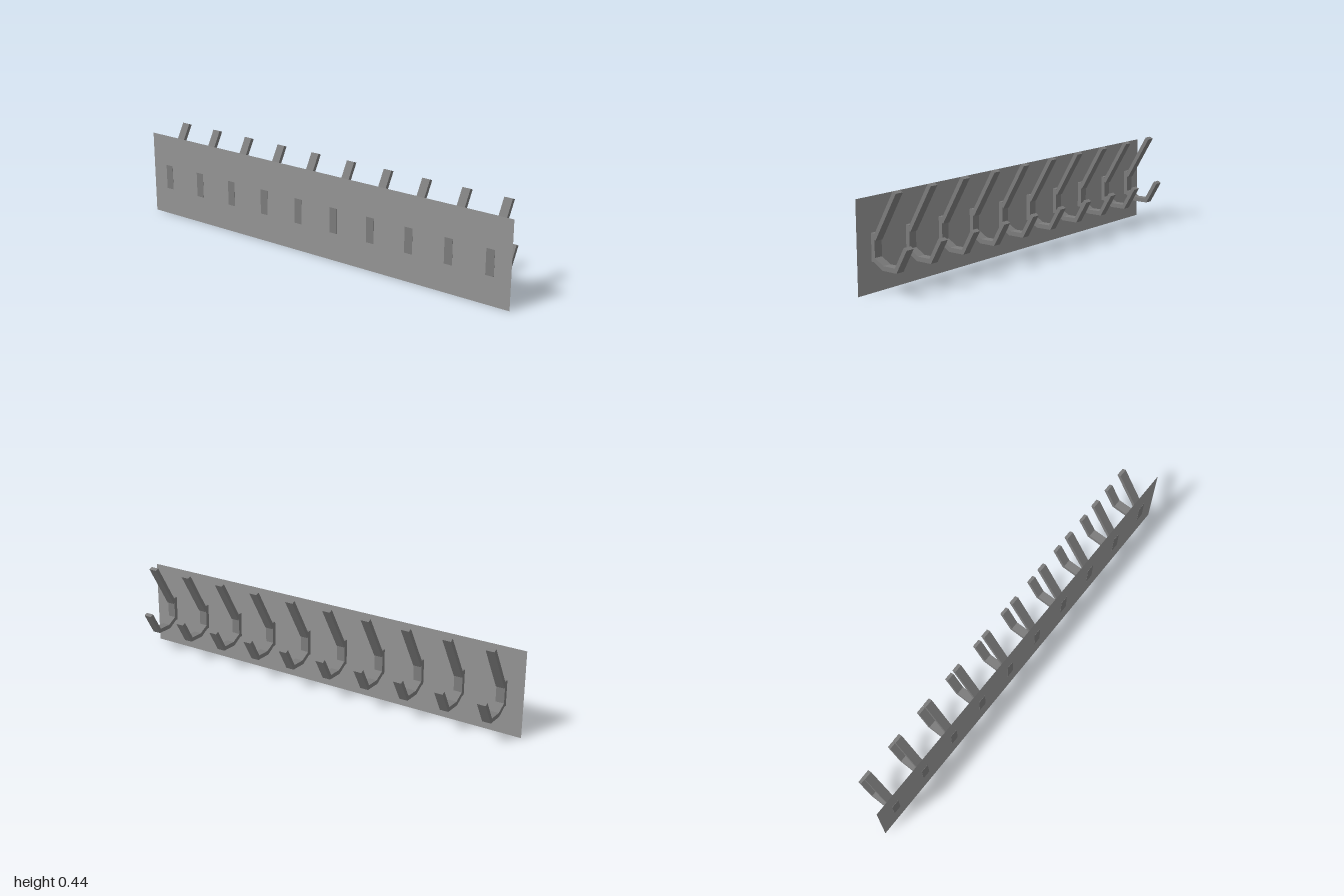
import * as THREE from 'three';

const BOARD = { width: 2, height: 0.4, z: 0.099 };
const HOOK_COUNT = 10, HOOK_SPACING = 0.2, HOOK_WIDTH = 0.04;

// Side outline of one hook as [z, y], from the top of the mounting strip round
const HOOK_OUTLINE = [
  [0.1, 0.25], [0.1, 0.131], [0.086, 0.131],   // mounting strip
  [0.04, 0.103], [-0.039, 0.103],              // underside of the bend
  [-0.098, 0.206], [-0.082, 0.215],            // short prong tip
  [-0.03, 0.123], [0.034, 0.123],              // inside of the bend
  [0.08, 0.149], [0.08, 0.225], [0.075, 0.22], // inner face of the strip
  [-0.045, 0.427], [-0.028, 0.435],            // long prong tip
  [0.08, 0.247], [0.08, 0.25],
];

function hookGeometry() {
  const shape = new THREE.Shape(HOOK_OUTLINE.map(([z, y]) => new THREE.Vector2(z, y)));
  const geometry = new THREE.ExtrudeGeometry(shape, { depth: HOOK_WIDTH, bevelEnabled: false });
  geometry.translate(0, 0, -HOOK_WIDTH / 2);
  geometry.rotateY(-Math.PI / 2); // outline x becomes z
  return geometry;
}

export function createModel() {
  const model = new THREE.Group();
  model.name = 'hookRack';

  // Paper-thin backing board, with the strips of the hooks showing through its front
  const board = new THREE.Mesh(
    new THREE.PlaneGeometry(BOARD.width, BOARD.height),
    new THREE.MeshStandardMaterial({ color: 0x949494, side: THREE.DoubleSide })
  );
  board.name = 'backBoard';
  board.position.set(0, BOARD.height / 2, BOARD.z);
  model.add(board);

  // Evenly spaced row of double-pronged hooks in a darker grey
  const hooks = new THREE.Group();
  hooks.name = 'hooks';
  const geometry = hookGeometry();
  const material = new THREE.MeshStandardMaterial({ color: 0x7c7c7c });
  for (let i = 0; i < HOOK_COUNT; i++) {
    const hook = new THREE.Mesh(geometry, material);
    hook.name = `hook${i + 1}`;
    hook.position.x = (i - (HOOK_COUNT - 1) / 2) * HOOK_SPACING;
    hooks.add(hook);
  }
  model.add(hooks);
  return model;
}
